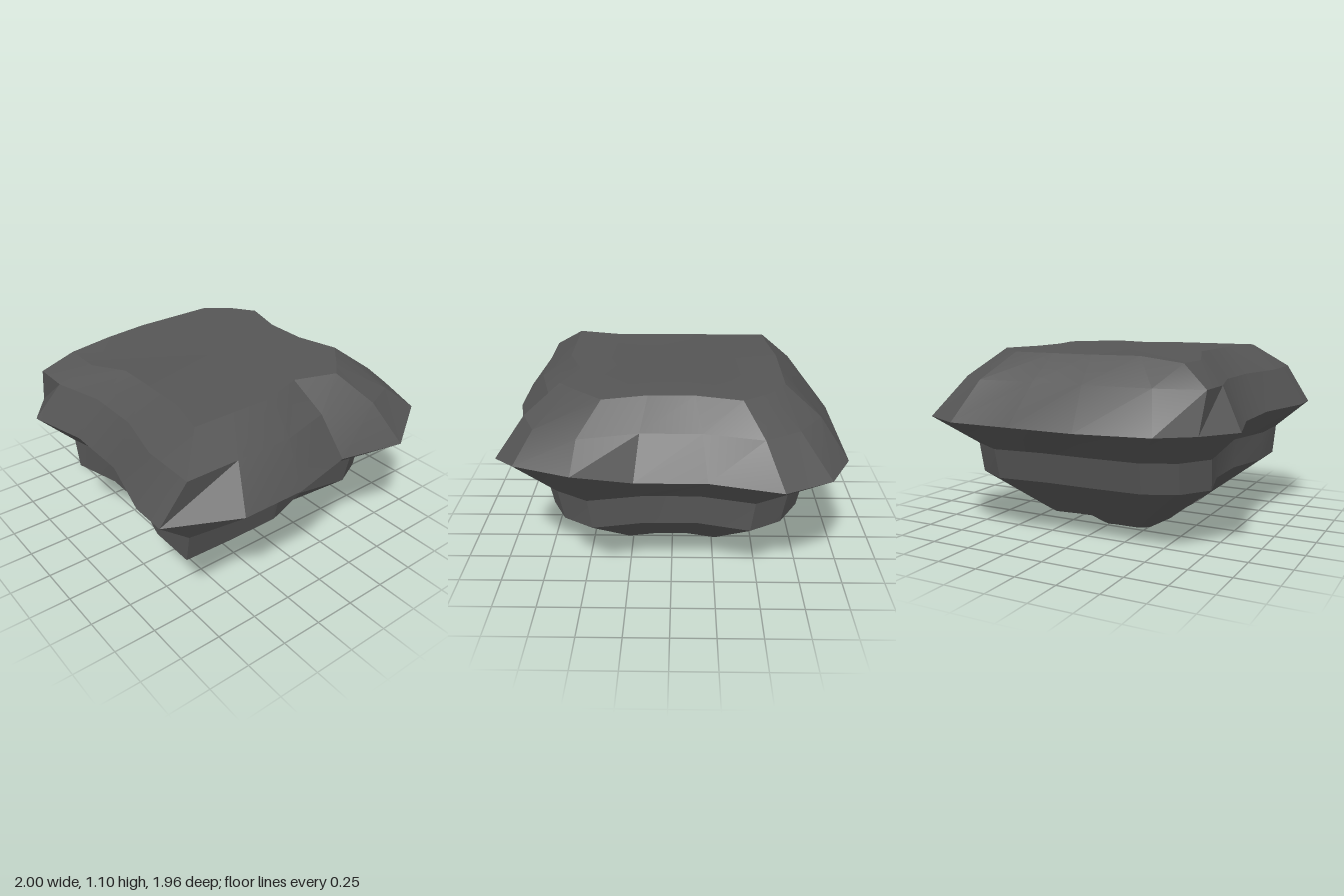
import * as THREE from 'three';
import { toCreasedNormals } from 'three/addons/utils/BufferGeometryUtils.js';

// Outlines as x, z pairs: from the front edge round through +x, back and -x
const TOP = [-.37, .655, -.13, .565, .13, .565, .39, .565, .64, .63, .64, .38, .64, .11, .555, -.13, .64, -.38, .565, -.46,
  .38, -.63, .13, -.565, -.13, -.565, -.39, -.635, -.54, -.53, -.645, -.385, -.645, -.13, -.645, .12, -.61, .4, -.61, .655];
const SHOULDER = [-.48, .825, -.17, .74, .17, .74, .5, .82, .835, .82, .835, .5, .835, .15, .75, -.17, .835, -.5, .75, -.7,
  .5, -.82, .17, -.74, -.17, -.74, -.5, -.82, -.7, -.7, -.84, -.5, -.8, -.17, -.81, .15, -.78, .55, -.71, .825];
const RIM = [-.57, .965, -.2, .87, .2, .87, .6, .975, .81, .975, 1, .58, 1, .2, .91, -.2, 1, -.59, .84, -.86,
  .52, -.98, .2, -.875, -.2, -.875, -.6, -.98, -.87, -.84, -1, -.59, -1, -.2, -1, .2, -.925, .62, -.78, .81];
const WAIST = [-.47, .77, -.16, .69, .16, .69, .47, .77, .77, .77, .78, .46, .78, .15, .68, -.15, .74, -.46, .65, -.64,
  .47, -.75, .16, -.69, -.16, -.69, -.47, -.77, -.66, -.66, -.78, -.46, -.75, -.15, -.75, .15, -.74, .46, -.65, .65];
const N = 20;

// Turns an outline into a ring of points; lift raises or lowers single points
function ring(outline, y, sx = 1, sz = 1, cx = 0, cz = 0, lift = {}) {
  return Array.from({ length: N }, (_, i) => [
    outline[2 * i] * sx + cx, y + (lift[i] ?? 0), outline[2 * i + 1] * sz + cz]);
}

// Joins the rings from bottom to top and closes both ends
function loft(rings, bottom, top) {
  const pos = [];
  const tri = (...pts) => pts.forEach((p) => pos.push(...p));
  for (let i = 0; i < N; i++) {
    const j = (i + 1) % N;
    tri(bottom, rings[0][j], rings[0][i]);
    for (let r = 0; r < rings.length - 1; r++) {
      const a = rings[r], b = rings[r + 1];
      tri(a[i], a[j], b[j]);
      tri(a[i], b[j], b[i]);
    }
    const last = rings[rings.length - 1];
    tri(top, last[i], last[j]);
  }
  const geo = new THREE.BufferGeometry();
  geo.setAttribute('position', new THREE.Float32BufferAttribute(pos, 3));
  return toCreasedNormals(geo, 0.3);
}

export function createModel() {
  const model = new THREE.Group();
  model.name = 'rock';
  const stone = new THREE.MeshStandardMaterial({ color: 0x555555 });

  const geo = loft([
    ring(WAIST, 0, .2, .22, -.065, .09),       // foot
    ring(WAIST, .1, .385, .44, -.04, .09),     // top of foot
    ring(WAIST, .105, .56, .56),               // underside ledge
    ring(WAIST, .36, .95, .99),                // lower band
    ring(WAIST, .54),                          // waist
    ring(RIM, .72, 1, 1, 0, 0, { 9: .09, 10: .09 }), // widest rim
    ring(SHOULDER, .95),                       // shoulder
    ring(TOP, 1.1, 1, 1, 0, 0, { 0: -.03, 19: -.03 }), // flat top
  ], [-.065, 0, .09], [0, 1.1, 0]);

  const rock = new THREE.Mesh(geo, stone);
  rock.name = 'boulder';
  model.add(rock);
  return model;
}
